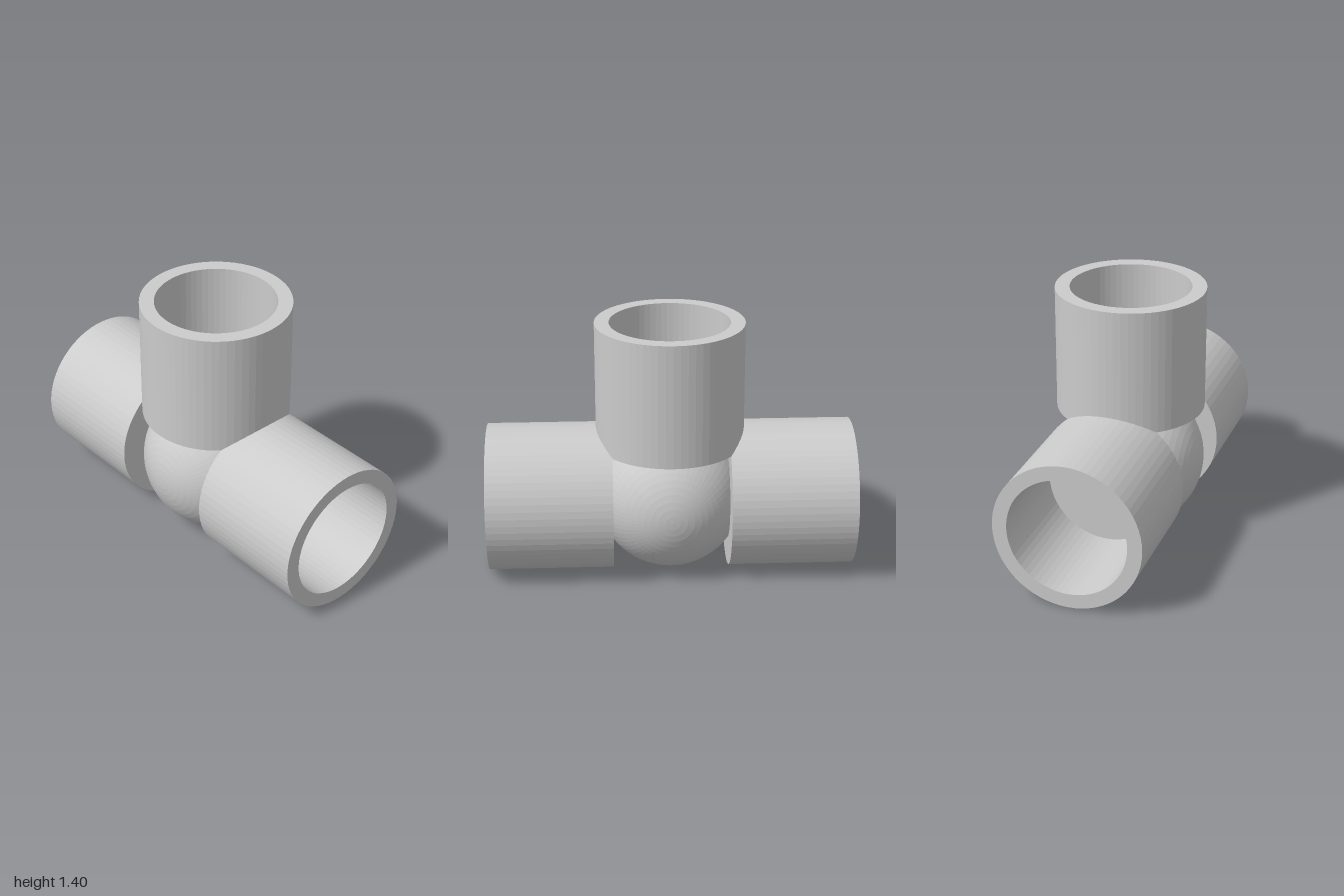
import * as THREE from 'three';

const R = 0.405;        // outer radius of sockets and hub
const BORE = 0.326;     // inner radius of sockets
const START = 0.318;    // distance from hub centre to socket base
const FLOOR = 0.405;    // distance from hub centre to the bottom of the bore
const END = 1;          // distance from hub centre to the open rim
const SIDES = 64;

export function createModel() {
  const group = new THREE.Group();
  group.name = 'pipeTee';
  const material = new THREE.MeshStandardMaterial({ color: 0xcccccc, flatShading: true });

  // Spherical hub, poles along z
  const hub = new THREE.Mesh(new THREE.SphereGeometry(R, SIDES, SIDES / 2), material);
  hub.name = 'hub';
  hub.rotation.x = Math.PI / 2;
  hub.position.y = R;
  group.add(hub);

  // Blind socket: base, outer wall, rim, bore wall, bore floor
  const profile = [
    [0, START], [R, START], [R, END], [BORE, END], [BORE, FLOOR], [0, FLOOR],
  ].map(([x, y]) => new THREE.Vector2(x, y));
  const socketGeometry = new THREE.LatheGeometry(profile, SIDES);

  // Three sockets around the hub
  const sockets = [['topSocket', 0], ['leftSocket', -Math.PI / 2], ['rightSocket', Math.PI / 2]];
  for (const [name, angle] of sockets) {
    const socket = new THREE.Mesh(socketGeometry, material);
    socket.name = name;
    socket.rotation.z = angle;
    socket.position.y = R;
    group.add(socket);
  }
  return group;
}
